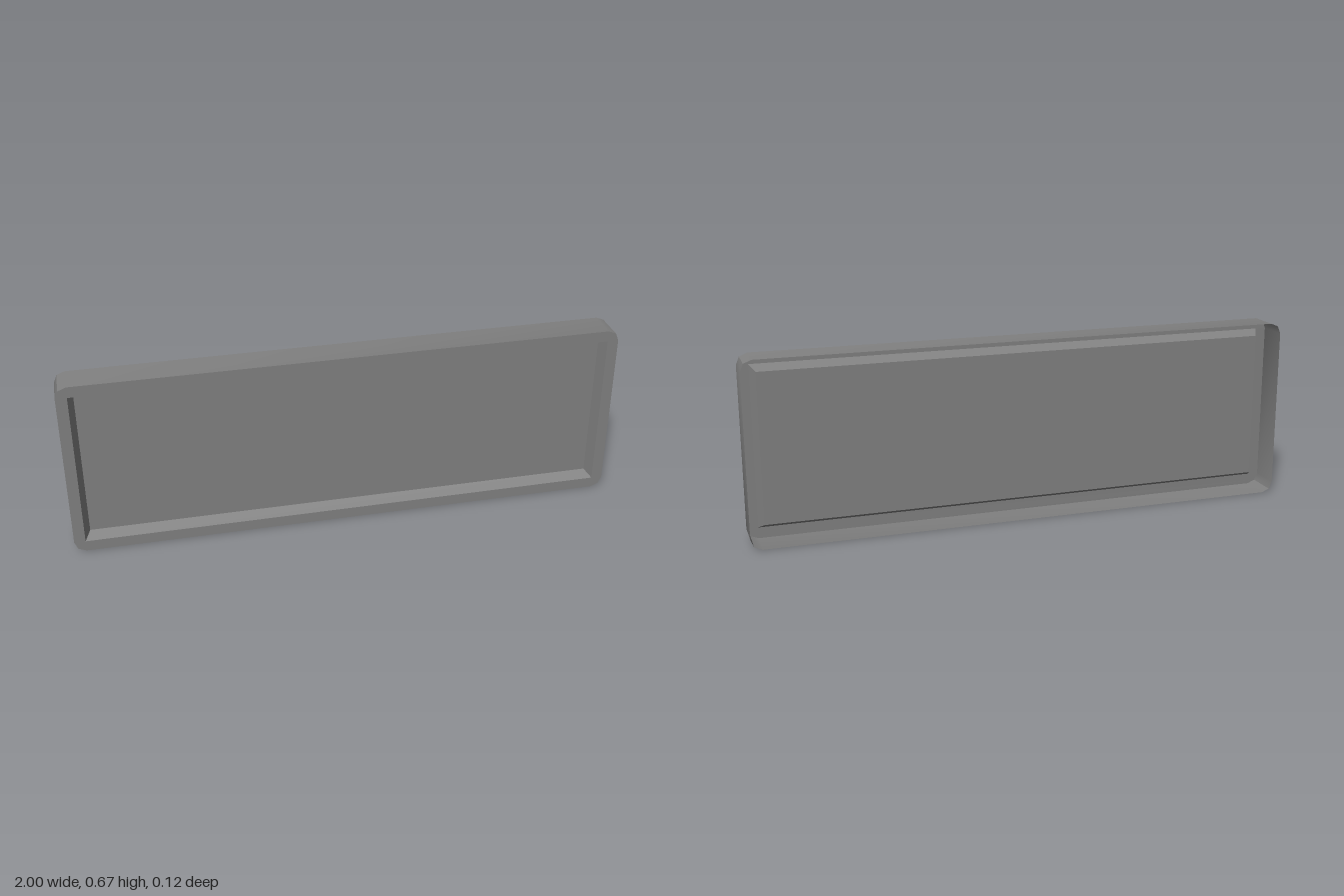
import * as THREE from 'three';
import { toCreasedNormals } from 'three/addons/utils/BufferGeometryUtils.js';

const HEIGHT = 0.666, DEPTH = 0.117, CORNER = 0.04;
const FRONT = DEPTH / 2, PANEL_Z = 0.02;

// Counter-clockwise rectangle, inset evenly from the outer edge.
function rectangle(inset) {
  const x = 1 - inset, low = inset, high = HEIGHT - inset;
  return [[-x, low], [x, low], [x, high], [-x, high]].map(([a, b]) => new THREE.Vector2(a, b));
}

// Outer outline whose corners are rounded in two facets.
function roundedOutline() {
  const points = [];
  rectangle(CORNER).forEach((centre, corner) => {
    for (let i = 0; i <= 2; i++) {
      const angle = Math.PI + corner * Math.PI / 2 + i * Math.PI / 4;
      points.push(new THREE.Vector2(
        centre.x + CORNER * Math.cos(angle), centre.y + CORNER * Math.sin(angle)));
    }
  });
  return points;
}

// Closed strip of quads between a rear loop and a front loop, facing outward.
function band(rear, rearZ, front, frontZ) {
  const positions = [], n = rear.length;
  for (let i = 0; i < n; i++) {
    const j = (i + 1) % n;
    const a = [rear[i].x, rear[i].y, rearZ], b = [rear[j].x, rear[j].y, rearZ];
    const c = [front[j].x, front[j].y, frontZ], d = [front[i].x, front[i].y, frontZ];
    positions.push(...a, ...b, ...c, ...a, ...c, ...d);
  }
  const geometry = new THREE.BufferGeometry();
  geometry.setAttribute('position', new THREE.Float32BufferAttribute(positions, 3));
  geometry.computeVertexNormals();
  return toCreasedNormals(geometry, 0.5);
}

export function createModel() {
  const group = new THREE.Group();
  group.name = 'recessedTray';
  const grey = new THREE.MeshStandardMaterial({ color: 0x808080, side: THREE.DoubleSide });
  grey.name = 'grey';

  const add = (name, geometry, z = 0) => {
    const mesh = new THREE.Mesh(geometry, grey);
    mesh.name = name;
    mesh.position.z = z;
    group.add(mesh);
  };

  const outline = roundedOutline();
  const opening = rectangle(0.04), floor = rectangle(0.06);

  // Thin outer wall, open at the back
  add('outerWall', band(outline, -FRONT, outline, FRONT));

  // Flat front rim around the opening
  const rim = new THREE.Shape(outline);
  rim.holes.push(new THREE.Path(opening));
  add('frontRim', new THREE.ShapeGeometry(rim), FRONT);

  // Sloped recess sides, facing the inside of the opening
  add('recessSides', band(opening, FRONT, floor, PANEL_Z));

  // Sunken panel
  add('panel', new THREE.ShapeGeometry(new THREE.Shape(floor)), PANEL_Z);

  return group;
}
